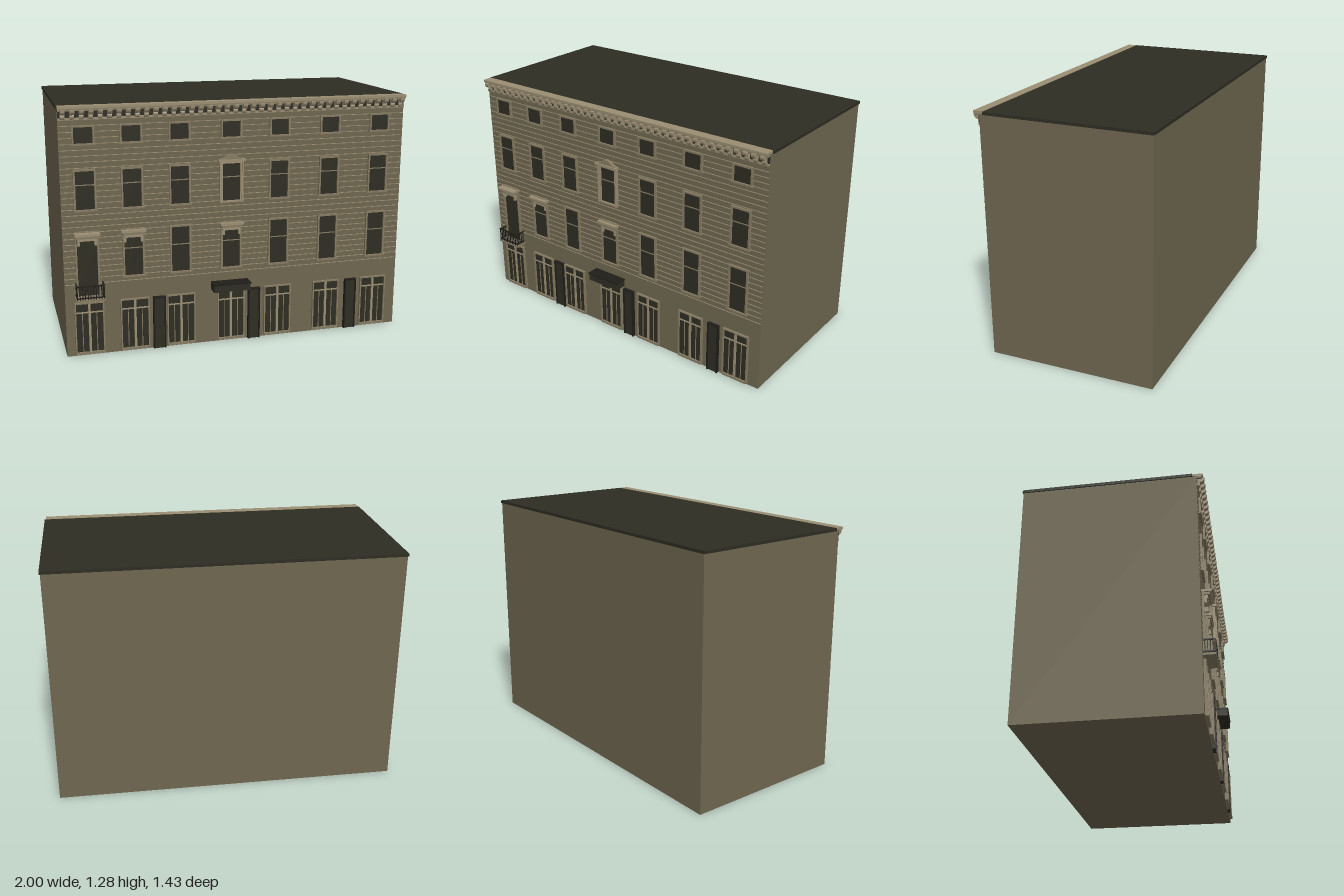
import * as THREE from 'three';

const mat = (name, color) => Object.assign(new THREE.MeshStandardMaterial({ color }), { name });

export function createModel() {
  const wall = mat('wall', 0x6e664f);
  const stone = mat('stone', 0x857a61);
  const trim = mat('trim', 0x9a8d72);
  const dark = mat('dark roof and glass', 0x2d2d23);
  const iron = mat('iron', 0x1f1e19);

  const W = 1.803, D = 0.877, F = D / 2; // F is the plane of the facade
  const model = new THREE.Group();
  model.name = 'townhouse';
  const house = new THREE.Group();
  house.name = 'building';
  house.rotation.y = 0.306;
  house.position.set(-0.002, 0, -0.023);
  model.add(house);

  // position along the facade from its straight-on position
  const U = x => (x - 0.13) / 0.9536;

  // box given by centre x, y range and z range
  function box(parent, name, m, x, w, y0, y1, z0, z1) {
    const mesh = new THREE.Mesh(new THREE.BoxGeometry(w, y1 - y0, z1 - z0), m);
    mesh.position.set(x, (y0 + y1) / 2, (z0 + z1) / 2);
    mesh.name = name;
    parent.add(mesh);
    return mesh;
  }
  function group(name, parent = house) {
    const g = new THREE.Group();
    g.name = name;
    parent.add(g);
    return g;
  }

  // main volume and flat roof
  box(house, 'walls', wall, 0, W, 0, 1.262, -F, F);
  box(house, 'roof', dark, 0, W + 0.01, 1.26, 1.275, -F - 0.004, F - 0.02);

  // fine horizontal courses on the facade
  const courses = group('courses');
  for (let y = 0.38; y < 1.2; y += 0.0295)
    box(courses, 'course', trim, 0, W - 0.002, y, y + 0.003, F - 0.002, F + 0.003);

  // framed window with optional glazing bars
  function windowAt(name, x, w, y0, y1, bar, m = stone) {
    const g = group(name), f = 0.009;
    box(g, 'glass', dark, x, w, y0, y1, F - 0.002, F + 0.0045);
    for (const s of [-1, 1])
      box(g, 'jamb', m, x + s * (w + f) / 2, f, y0 - f, y1 + f, F, F + 0.012);
    box(g, 'head', m, x, w, y1, y1 + f, F, F + 0.012);
    box(g, 'sill', m, x, w + 3 * f, y0 - f, y0, F, F + 0.014);
    if (bar) box(g, 'glazingBar', stone, x, w, bar, bar + 0.005, F, F + 0.007);
    return g;
  }

  // moulded hood over a window
  function hood(x, w, depth) {
    const g = group('hood');
    box(g, 'hoodTop', trim, x, w, 0.638, 0.65, F, F + depth);
    box(g, 'hoodMoulding', stone, x, w - 0.015, 0.625, 0.638, F, F + depth * 0.8);
    box(g, 'hoodBase', trim, x, w - 0.03, 0.61, 0.625, F, F + depth * 0.6);
    for (const s of [-1, 1])
      box(g, 'console', trim, x + s * (w / 2 - 0.02), 0.012, 0.585, 0.61, F, F + depth * 0.5);
  }

  const columns = [-0.617, -0.395, -0.165, 0.09, 0.335, 0.597, 0.86].map(U);
  columns.forEach((x, i) => {
    windowAt('atticWindow', x, 0.092, 1.093, 1.172);
    windowAt('upperWindow', x, 0.092, 0.765, 0.957, 0.885, i === 3 ? trim : stone);
    if (i === 0) windowAt('balconyDoor', x, 0.1, 0.32, 0.645);
    else windowAt('middleWindow', x, 0.092, 0.41, 0.645, 0.55);
    if (i === 0) hood(x, 0.125, 0.05);
    if (i === 1 || i === 3) hood(x, 0.125, 0.032);

    // ground floor shop window
    const shop = group('shopWindow'), w = 0.142;
    box(shop, 'glass', dark, x, w, 0.02, 0.28, F - 0.002, F + 0.006);
    for (const s of [-1, 1])
      box(shop, 'jamb', stone, x + s * w / 2, 0.007, 0.01, 0.284, F, F + 0.014);
    box(shop, 'sill', stone, x, w, 0.008, 0.02, F, F + 0.016);
    box(shop, 'head', stone, x, w, 0.278, 0.284, F, F + 0.014);
    box(shop, 'transom', trim, x, w, 0.228, 0.235, F, F + 0.01);
    box(shop, 'mullion', trim, x, 0.012, 0.02, 0.28, F, F + 0.012);
    for (const s of [-1, 1])
      box(shop, 'thinMullion', stone, x + s * 0.036, 0.004, 0.02, 0.228, F, F + 0.009);
  });

  // street doors
  for (const x of [-0.275, 0.21, 0.733]) {
    const door = group('streetDoor');
    box(door, 'doorLeaf', dark, U(x), 0.052, 0, 0.275, F - 0.002, F + 0.012);
    for (const s of [-1, 1])
      box(door, 'doorPost', iron, U(x) + s * 0.029, 0.007, 0, 0.282, F, F + 0.018);
    box(door, 'doorHead', iron, U(x), 0.052, 0.275, 0.282, F, F + 0.018);
  }

  // arched ornament above the central upper window
  const ornament = group('pediment');
  const cx = columns[3];
  box(ornament, 'pedimentShelf', trim, cx, 0.14, 0.968, 0.98, F, F + 0.028);
  const s = new THREE.Shape();
  s.moveTo(-0.068, 0.98);
  s.quadraticCurveTo(-0.035, 0.985, -0.03, 0.995);
  s.quadraticCurveTo(0, 1.018, 0.03, 0.995);
  s.quadraticCurveTo(0.035, 0.985, 0.068, 0.98);
  const arch = new THREE.Mesh(
    new THREE.ExtrudeGeometry(s, { depth: 0.02, bevelEnabled: false, curveSegments: 6 }), stone);
  arch.name = 'pedimentArch';
  arch.position.set(cx, 0, F);
  ornament.add(arch);
  for (const k of [-1, 1])
    box(ornament, 'pilaster', trim, cx + k * 0.058, 0.008, 0.755, 0.968, F, F + 0.018);

  // balcony with iron railing
  const balcony = group('balcony'), bx = U(-0.612), bw = 0.14, bd = 0.06;
  box(balcony, 'balconySlab', stone, bx, bw + 0.008, 0.305, 0.316, F, F + bd);
  for (const y of [0.322, 0.383]) {
    box(balcony, 'frontRail', iron, bx, bw, y, y + 0.006, F + bd - 0.006, F + bd);
    for (const k of [-1, 1])
      box(balcony, 'sideRail', iron, bx + k * (bw / 2 - 0.003), 0.006, y, y + 0.006, F, F + bd);
  }
  for (let i = 0; i <= 10; i++)
    box(balcony, 'baluster', iron, bx + (i / 10 - 0.5) * (bw - 0.006), 0.004, 0.316, 0.385, F + bd - 0.005, F + bd - 0.001);
  for (const k of [-1, 1]) for (let i = 0; i < 4; i++)
    box(balcony, 'sideBaluster', iron, bx + k * (bw / 2 - 0.003), 0.004, 0.316, 0.385, F + 0.006 + i * 0.013, F + 0.01 + i * 0.013);

  // projecting canopy over the central shop
  const canopy = group('canopy');
  box(canopy, 'canopyBox', dark, U(0.083), 0.196, 0.292, 0.33, F, F + 0.064);
  box(canopy, 'canopyRim', iron, U(0.083), 0.2, 0.328, 0.335, F, F + 0.067);

  // cornice with a row of scrolled brackets
  const cornice = group('cornice'), cw = W - 0.003;
  box(cornice, 'topSlab', trim, 0, cw, 1.264, 1.276, F - 0.02, F + 0.032);
  box(cornice, 'moulding', stone, 0, cw, 1.252, 1.264, F - 0.002, F + 0.024);
  box(cornice, 'friezeShade', dark, 0, cw, 1.218, 1.252, F - 0.002, F + 0.004);
  box(cornice, 'lowerBand', trim, 0, cw, 1.207, 1.218, F - 0.002, F + 0.008);
  const p = new THREE.Shape();
  p.moveTo(0, 1.21);
  p.lineTo(0.01, 1.21);
  p.quadraticCurveTo(0.02, 1.222, 0.014, 1.232);
  p.quadraticCurveTo(0.04, 1.235, 0.038, 1.258);
  p.lineTo(0, 1.258);
  const bracketGeo = new THREE.ExtrudeGeometry(p, { depth: 0.022, bevelEnabled: false, curveSegments: 4 });
  bracketGeo.translate(0, 0, -0.011);
  bracketGeo.rotateY(-Math.PI / 2); // profile now projects toward the street
  const n = 40;
  for (let i = 0; i < n; i++) {
    const b = new THREE.Mesh(bracketGeo, trim);
    b.name = 'bracket';
    b.position.set(((i + 0.5) / n - 0.5) * cw, 0, F);
    cornice.add(b);
  }
  return model;
}
